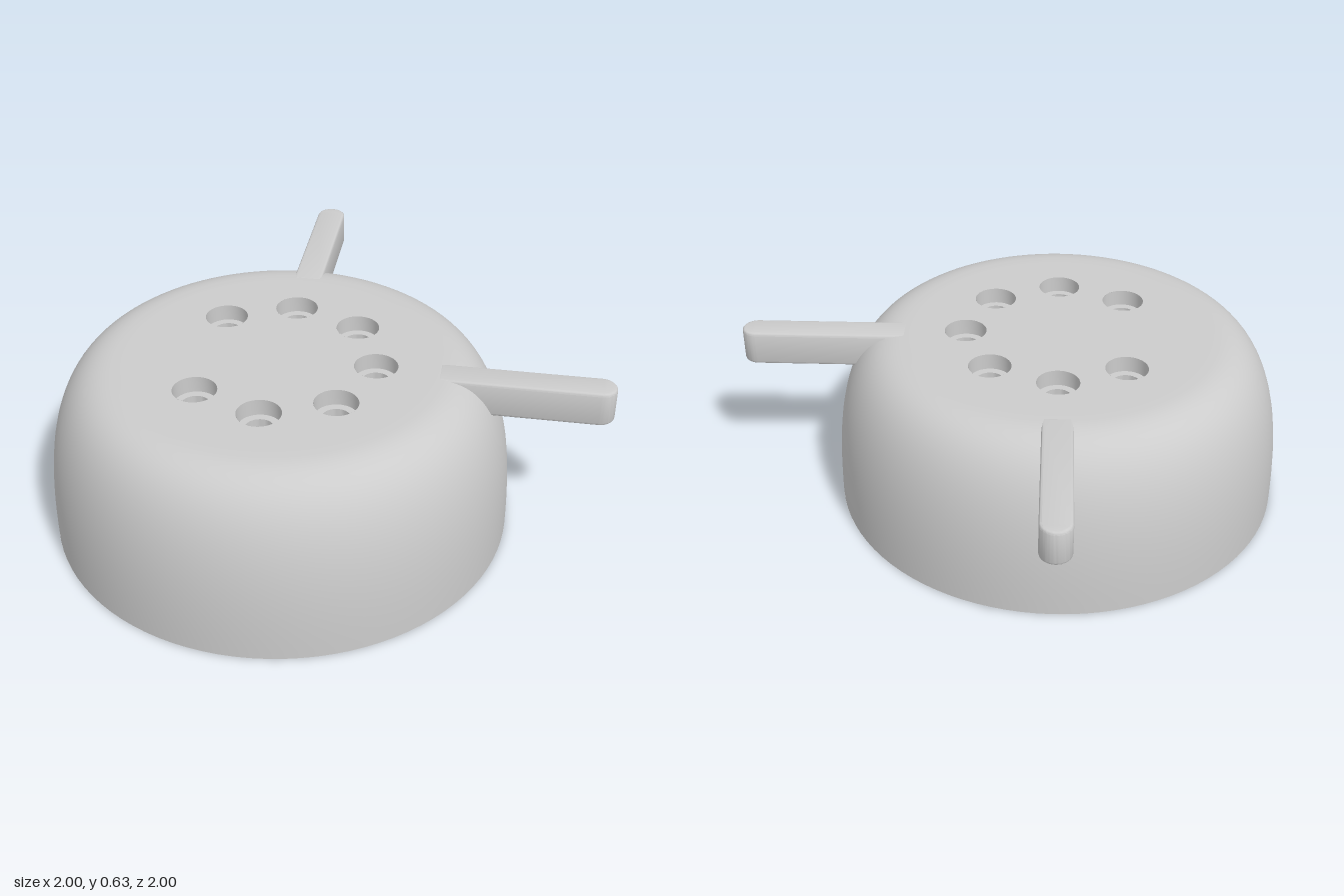
import * as THREE from 'three';
import { toCreasedNormals } from 'three/addons/utils/BufferGeometryUtils.js';

const R = 0.83, H = 0.635, FLAT = 0.55;          // dome radius, height, flat top radius
const CEIL = 0.41, FLOOR = 0.475, RECESS = 0.43; // inner ceiling, recess floor height and radius
const HOLE = 0.05, BORE = 0.077, RING = 0.343;   // vent hole sizes and pitch radius
const RAD = Math.PI / 180;

const material = new THREE.MeshStandardMaterial({ color: 0xcccccc, side: THREE.DoubleSide });

function part(parent, name, geometry) {
  const mesh = new THREE.Mesh(geometry, material);
  mesh.name = name;
  parent.add(mesh);
  return mesh;
}

const lathe = (pts, seg) => new THREE.LatheGeometry(pts.map(([x, y]) => new THREE.Vector2(x, y)), seg);
const bulge = (t, p) => Math.pow(Math.max(0, 1 - Math.pow(t, p)), 1 / p);

// Closed ring surface: point(angle, row) gives [radius, height]
function ringSurface(point, rows, seg = 360) {
  const pos = [], idx = [];
  for (let j = 0; j <= rows; j++) {
    for (let i = 0; i < seg; i++) {
      const a = (i / seg) * Math.PI * 2;
      const [r, y] = point(a, j);
      pos.push(r * Math.cos(a), y, r * Math.sin(a));
      if (j === rows) continue;
      const n = (i + 1) % seg, p = j * seg + i, q = j * seg + n;
      idx.push(p, q, p + seg, q, q + seg, p + seg);
    }
  }
  const g = new THREE.BufferGeometry();
  g.setAttribute('position', new THREE.Float32BufferAttribute(pos, 3));
  g.setIndex(idx);
  g.computeVertexNormals();
  return g;
}

// Inner wall radius, widened where the seven round-topped grooves cut into it
function innerRadius(a, y) {
  let r = 0.56 + 0.205 * bulge(y / CEIL, 2.5);
  const c = 0.71, size = 0.087, top = 0.305;
  const over = Math.max(0, y - top);
  if (over >= size) return r;
  const rr = Math.sqrt(size * size - over * over);
  for (let k = 0; k < 7; k++) {
    const d = a - (139.5 + 45 * k) * RAD;
    const s = c * Math.sin(d);
    if (Math.cos(d) > 0 && Math.abs(s) < rr) {
      r = Math.max(r, c * Math.cos(d) + Math.sqrt(rr * rr - s * s));
    }
  }
  return r;
}

// Seven of eight places on the ring carry holes; the eighth (-x) has a peg
const holeSpots = [];
for (let k = -3; k <= 3; k++) {
  holeSpots.push([RING * Math.cos(k * 45 * RAD), RING * Math.sin(k * 45 * RAD)]);
}

function piercedDisc(radius, holeRadius) {
  const shape = new THREE.Shape().absarc(0, 0, radius, 0, Math.PI * 2);
  for (const [x, z] of holeSpots) {
    shape.holes.push(new THREE.Path().absarc(x, z, holeRadius, 0, Math.PI * 2, true));
  }
  return new THREE.ShapeGeometry(shape, 48);
}

// Bar with a rounded tip, running out along +x
function armGeometry() {
  const b = 0.01, w = 0.054 - b, start = 0.57, end = 1.17 - 0.054;
  const shape = new THREE.Shape();
  shape.moveTo(start, -w);
  shape.lineTo(end, -w);
  shape.absarc(end, 0, w, -Math.PI / 2, Math.PI / 2);
  shape.lineTo(start, w);
  const g = new THREE.ExtrudeGeometry(shape, {
    depth: 0.128 - 2 * b, bevelSize: b, bevelThickness: b, bevelSegments: 3, curveSegments: 16,
  });
  g.rotateX(-Math.PI / 2).translate(0, H - 0.128 + b, 0);
  return toCreasedNormals(g, 0.6);
}

export function createModel() {
  const model = new THREE.Group();
  model.name = 'ventedCap';
  const body = new THREE.Group();
  body.name = 'body';
  body.position.set(-0.17, 0, 0.165);
  model.add(body);

  // Outer dome
  const dome = [];
  for (let i = 0; i <= 32; i++) {
    const y = Math.sin((i / 32) * Math.PI / 2);
    dome.push([FLAT + (R - FLAT) * bulge(y, 2.65), H * y]);
  }
  part(body, 'dome', lathe(dome, 96));
  part(body, 'topFace', piercedDisc(FLAT, BORE).rotateX(-Math.PI / 2).translate(0, H, 0));

  // Hollow inside: rim, grooved wall, ceiling step and recess
  part(body, 'bottomRim', ringSurface((a, j) => [j ? innerRadius(a, 0) : R, 0], 1));
  part(body, 'groovedInnerWall', ringSurface((a, j) => {
    const y = CEIL * Math.sin((j / 48) * Math.PI / 2);
    return [innerRadius(a, y), y];
  }, 48));
  part(body, 'ceilingStep', toCreasedNormals(
    lathe([[RECESS, FLOOR], [RECESS, CEIL], [0.56, CEIL]], 96), 0.6));
  part(body, 'recessFloor', piercedDisc(RECESS, HOLE).rotateX(Math.PI / 2).translate(0, FLOOR, 0));

  // Stepped bores of the vent holes
  const bore = toCreasedNormals(
    lathe([[BORE, H], [BORE, 0.575], [HOLE, 0.575], [HOLE, FLOOR]], 40), 0.6);
  for (const [x, z] of holeSpots) part(body, 'ventHole', bore).position.set(x, 0, z);

  // Small peg under the ceiling
  part(body, 'peg', new THREE.CylinderGeometry(0.027, 0.027, 0.065, 24))
    .position.set(-RING, FLOOR - 0.0325, 0);

  // Two arms at right angles
  const arm = armGeometry();
  part(body, 'sideArm', arm);
  part(body, 'backArm', arm).rotation.y = Math.PI / 2;

  return model;
}
